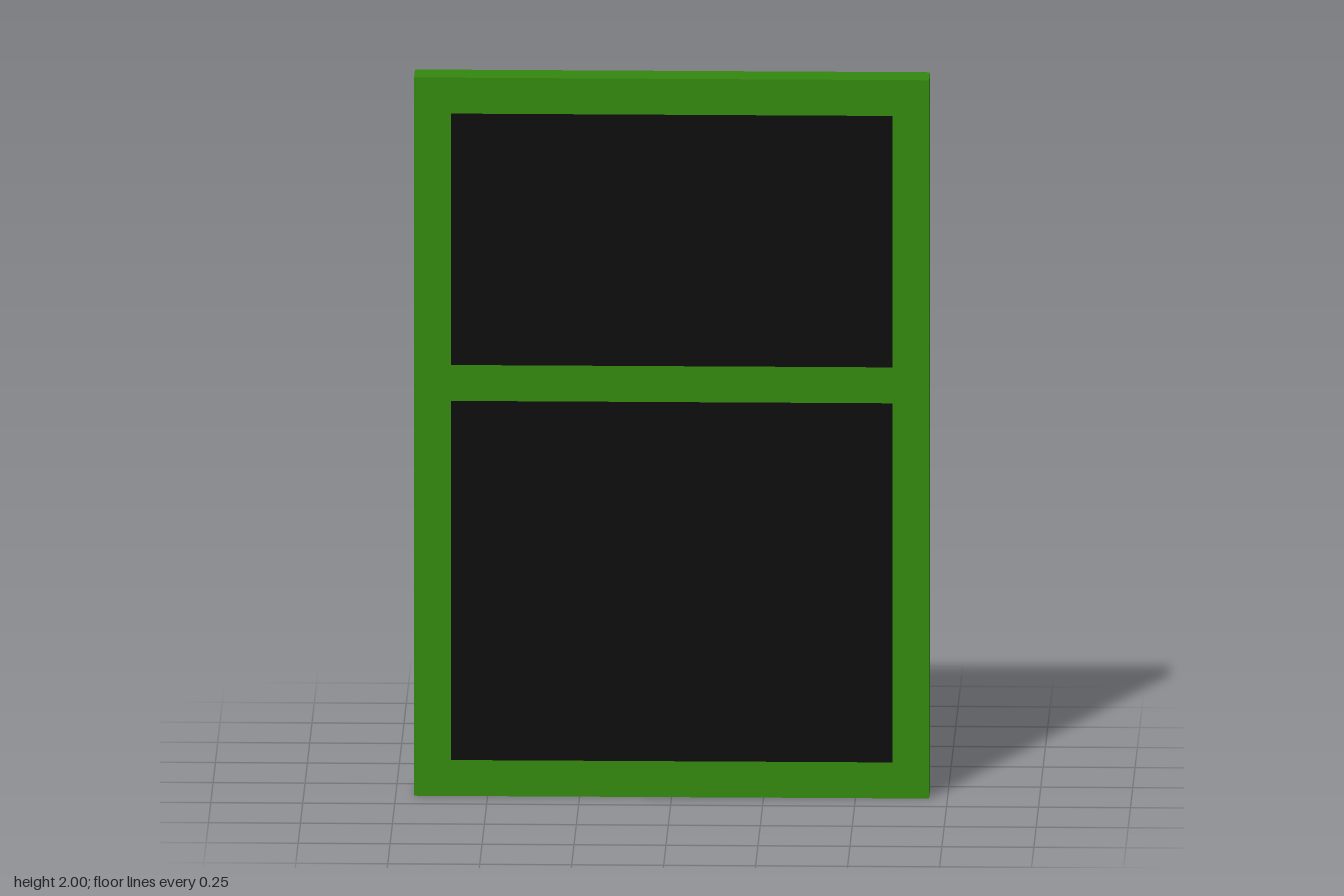
import * as THREE from 'three';

const frameMaterial = new THREE.MeshStandardMaterial({ color: 0x33880f });
const panelMaterial = new THREE.MeshStandardMaterial({ color: 0x0d0d0d });

const BACK = 0.05, DEPTH = 0.1; // door slab runs from z = 0.05 to 0.15

// Closed rectangular outline, usable as a shape or a hole
function rectPoints(x0, y0, x1, y1) {
  return [[x0, y0], [x1, y0], [x1, y1], [x0, y1]].map(([x, y]) => new THREE.Vector2(x, y));
}

function extrude(shape) {
  return new THREE.ExtrudeGeometry(shape, { depth: DEPTH, bevelEnabled: false });
}

export function createModel() {
  const door = new THREE.Group();
  door.name = 'door';

  const add = (name, geometry, material, x, y, z) => {
    const mesh = new THREE.Mesh(geometry, material);
    mesh.name = name;
    mesh.position.set(x, y, z);
    door.add(mesh);
  };

  // Frame with a crossbar, and a panel flush on both sides in each opening
  const frame = new THREE.Shape(rectPoints(-0.7, 0, 0.7, 2));
  for (const [name, y0, y1] of [['lowerPanel', 0.1, 1.1], ['upperPanel', 1.2, 1.9]]) {
    frame.holes.push(new THREE.Path(rectPoints(-0.6, y0, 0.6, y1)));
    add(name, new THREE.BoxGeometry(1.2, y1 - y0, DEPTH), panelMaterial, 0, (y0 + y1) / 2, BACK + DEPTH / 2);
  }
  add('frame', extrude(frame), frameMaterial, 0, 0, BACK);

  // U-shaped pull handle behind the crossbar, drawn in plan and laid flat
  const handle = new THREE.Shape([
    [-0.6, 0], [-0.5, 0], [-0.5, 0.1], [-0.2, 0.1],
    [-0.2, 0], [-0.1, 0], [-0.1, 0.2], [-0.6, 0.2],
  ].map(([x, y]) => new THREE.Vector2(x, y)));
  add('handle', extrude(handle).rotateX(-Math.PI / 2), frameMaterial, 0, 1.1, BACK);

  return door;
}
